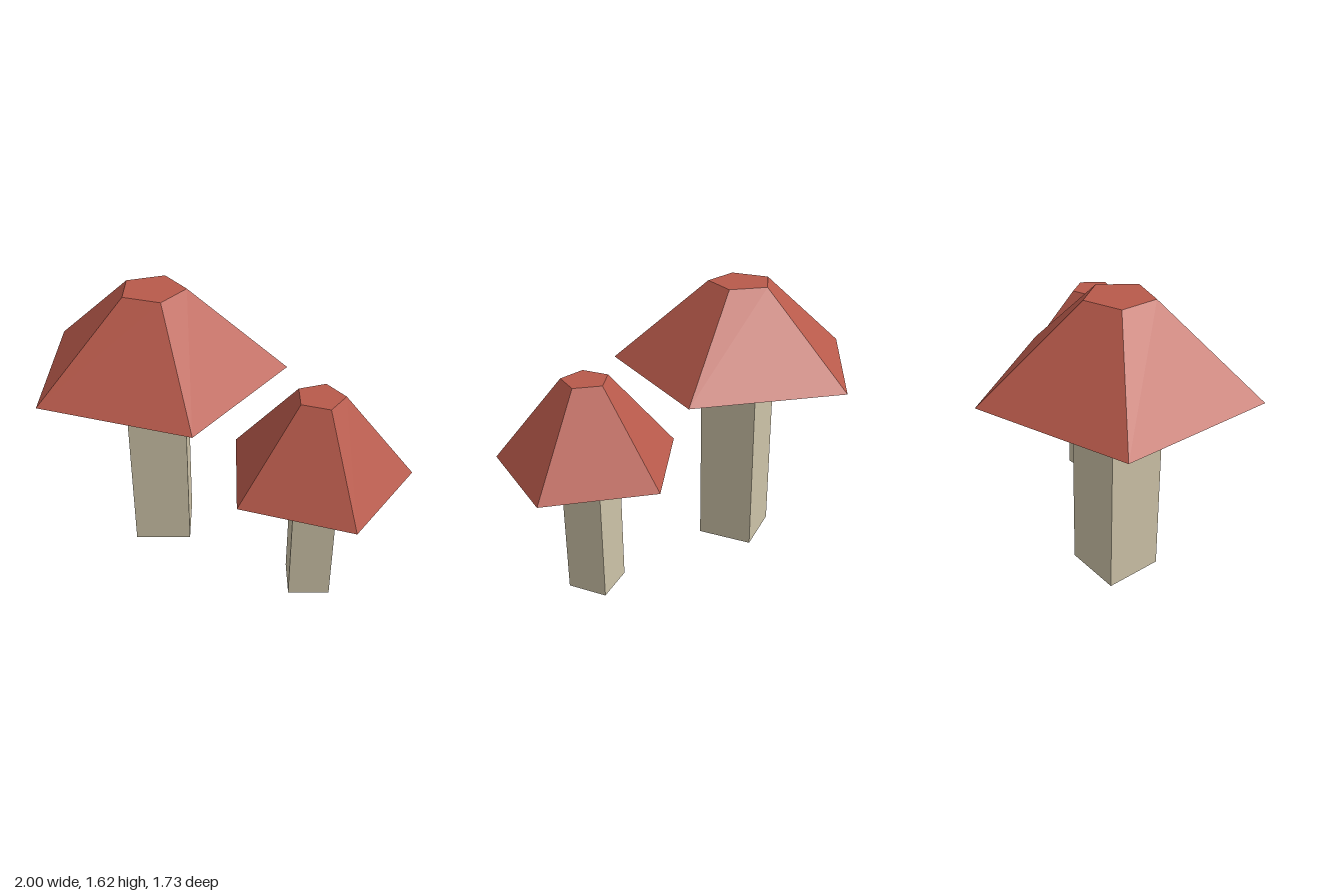
import * as THREE from 'three';

const capMaterial = new THREE.MeshStandardMaterial({ color: 0xb85a4b, flatShading: true });
const stemMaterial = new THREE.MeshStandardMaterial({ color: 0xcdc3a8, flatShading: true });
const CAP_HEIGHT = 0.48;

// Square stem under a truncated five-sided cap with one corner towards +x
function mushroom(name, { x, z, stemWidth, stemHeight, rimRadius, topRadius }) {
  const group = new THREE.Group();
  group.name = name;
  group.position.set(x, 0, z);

  const stem = new THREE.Mesh(new THREE.BoxGeometry(stemWidth, stemHeight, stemWidth), stemMaterial);
  stem.name = 'stem';
  stem.position.y = stemHeight / 2;

  const cap = new THREE.Mesh(
    new THREE.CylinderGeometry(topRadius, rimRadius, CAP_HEIGHT, 5, 1, false, Math.PI / 2),
    capMaterial
  );
  cap.name = 'cap';
  cap.position.y = stemHeight + CAP_HEIGHT / 2;

  group.add(stem, cap);
  return group;
}

export function createModel() {
  const model = new THREE.Group();
  model.name = 'mushrooms';
  model.add(
    mushroom('largeMushroom', {
      x: -0.4, z: -0.16, stemWidth: 0.334, stemHeight: 1.14, rimRadius: 0.741, topRadius: 0.185,
    }),
    mushroom('smallMushroom', {
      x: 0.474, z: 0.366, stemWidth: 0.235, stemHeight: 0.79, rimRadius: 0.523, topRadius: 0.131,
    })
  );
  return model;
}
